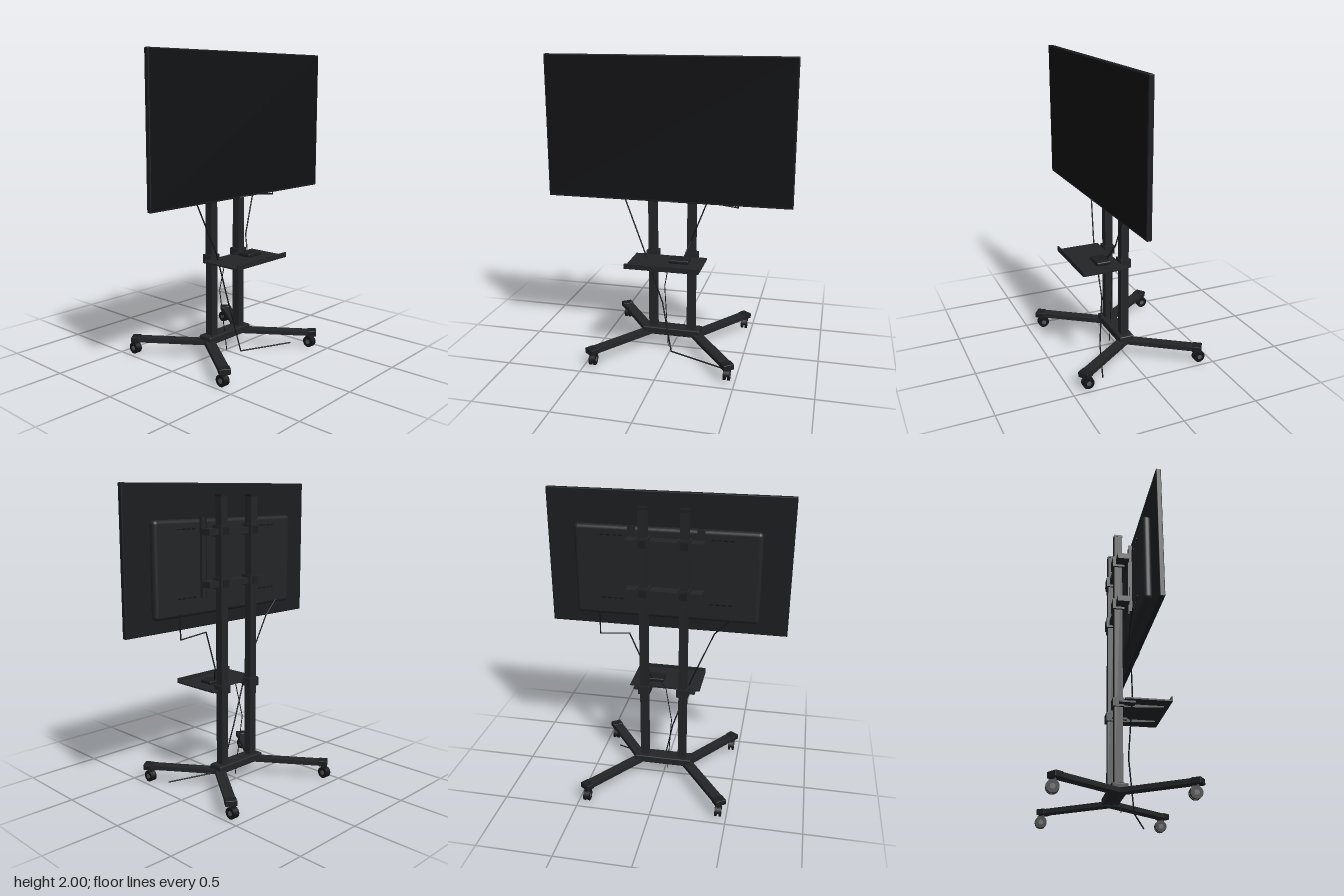
import * as THREE from 'three';
import { RoundedBoxGeometry } from 'three/addons/geometries/RoundedBoxGeometry.js';

const paint = (color) => new THREE.MeshStandardMaterial({ color });
const metal = paint(0x222426);
const plastic = paint(0x1c1d1f);
const glass = paint(0x111214);
const rubber = paint(0x141416);
const grey = paint(0x55585c);

function add(parent, name, geometry, material, x = 0, y = 0, z = 0) {
  const mesh = new THREE.Mesh(geometry, material);
  mesh.name = name;
  mesh.position.set(x, y, z);
  parent.add(mesh);
  return mesh;
}

// Box given by its limits on each axis
function box(parent, name, material, [x0, x1], [y0, y1], [z0, z1], radius = 0) {
  const size = [x1 - x0, y1 - y0, z1 - z0];
  const geometry = radius
    ? new RoundedBoxGeometry(...size, 4, radius)
    : new THREE.BoxGeometry(...size);
  return add(parent, name, geometry, material, (x0 + x1) / 2, (y0 + y1) / 2, (z0 + z1) / 2);
}

function group(parent, name) {
  const g = new THREE.Group();
  g.name = name;
  parent.add(g);
  return g;
}

// Thin cable running straight between points, with round joints
function cable(parent, name, points, radius = 0.0045) {
  const g = group(parent, name);
  const pts = points.map((p) => new THREE.Vector3(...p));
  pts.forEach((p, i) => {
    add(g, 'cableJoint', new THREE.SphereGeometry(radius, 8, 6), rubber, p.x, p.y, p.z);
    if (i === 0) return;
    const dir = p.clone().sub(pts[i - 1]);
    const mid = p.clone().add(pts[i - 1]).multiplyScalar(0.5);
    const run = add(g, 'cableRun', new THREE.CylinderGeometry(radius, radius, dir.length(), 8), rubber, mid.x, mid.y, mid.z);
    run.quaternion.setFromUnitVectors(new THREE.Vector3(0, 1, 0), dir.normalize());
  });
}

// Twin-wheel caster, wheels trailing behind the swivel
function caster(parent, x, z) {
  const g = group(parent, 'caster');
  g.position.set(x, 0, z);
  add(g, 'casterStem', new THREE.CylinderGeometry(0.012, 0.012, 0.04, 16), metal, 0, 0.075, 0.012);
  box(g, 'casterFork', plastic, [-0.006, 0.006], [0.03, 0.08], [-0.022, 0.024]);
  const hood = add(g, 'casterHood', new THREE.CylinderGeometry(0.039, 0.039, 0.014, 20, 1, false, 0, Math.PI), plastic, 0, 0.039, 0);
  hood.rotation.z = Math.PI / 2;
  for (const s of [-1, 1]) {
    const wheel = add(g, 'casterWheel', new THREE.CylinderGeometry(0.038, 0.038, 0.014, 24), rubber, s * 0.014, 0.038, 0);
    wheel.rotation.z = Math.PI / 2;
    const hub = add(g, 'casterHub', new THREE.CylinderGeometry(0.016, 0.016, 0.004, 16), grey, s * 0.021, 0.038, 0);
    hub.rotation.z = Math.PI / 2;
  }
}

function buildScreen(root) {
  const g = group(root, 'screen');
  box(g, 'screenBody', plastic, [-0.8, 0.8], [1.08, 2], [0.13, 0.162], 0.005);
  box(g, 'screenGlass', glass, [-0.792, 0.792], [1.092, 1.992], [0.15, 0.1635]);
  box(g, 'statusBar', grey, [-0.04, 0.04], [1.082, 1.087], [0.155, 0.1645]);
  box(g, 'rearHousing', metal, [-0.61, 0.61], [1.17, 1.78], [0.077, 0.135], 0.026);
  // Rows of vent slots on the back
  for (const s of [-1, 1])
    for (const y of [1.29, 1.72])
      for (let i = 0; i < 4; i++) {
        const x = s * (0.3 + i * 0.04);
        box(g, 'ventSlot', rubber, [x - 0.013, x + 0.013], [y - 0.004, y + 0.004], [0.0755, 0.08]);
      }
}

function buildMount(root) {
  const g = group(root, 'mount');
  for (const y of [1.70, 1.37]) {
    box(g, 'crossbar', metal, [-0.253, 0.253], [y - 0.02, y + 0.02], [-0.018, 0.067]);
    for (const s of [-1, 1]) {
      const x = s * 0.133;
      box(g, 'postClamp', metal, [x - 0.04, x + 0.04], [y - 0.035, y + 0.04], [-0.038, 0.04]);
      box(g, 'clampPlate', plastic, [x - 0.025, x + 0.025], [y - 0.022, y + 0.026], [-0.041, -0.036]);
    }
  }
  for (const s of [-1, 1]) {
    const x = s * 0.225;
    box(g, 'mountRail', metal, [x - 0.022, x + 0.022], [1.28, 1.79], [0.065, 0.08]);
    for (const e of [-1, 1])
      box(g, 'railFlange', metal, [x + e * 0.02 - 0.003, x + e * 0.02 + 0.003], [1.28, 1.79], [0.058, 0.08]);
  }
}

function buildShelf(root) {
  const g = group(root, 'shelf');
  box(g, 'shelfTray', metal, [-0.243, 0.243], [0.667, 0.677], [0.03, 0.325]);
  box(g, 'shelfLip', metal, [-0.243, 0.243], [0.667, 0.7], [0.319, 0.327]);
  for (const s of [-1, 1]) {
    const x = s * 0.133;
    box(g, 'shelfClamp', metal, [x - 0.04, x + 0.04], [0.642, 0.7], [-0.038, 0.034]);
    box(g, 'shelfFlange', metal, [s * 0.15 - 0.063, s * 0.15 + 0.063], [0.655, 0.668], [0, 0.1]);
    // Arm tapering toward the front edge
    const side = new THREE.Shape([[0, 0.642], [0.29, 0.658], [0.29, 0.668], [0, 0.668]].map((p) => new THREE.Vector2(...p)));
    const arm = new THREE.ExtrudeGeometry(side, { depth: 0.04, bevelEnabled: false });
    arm.rotateY(-Math.PI / 2);
    add(g, 'shelfArm', arm, metal, x + 0.02, 0, 0);
  }
  box(g, 'mediaBox', plastic, [0.02, 0.15], [0.677, 0.702], [0.095, 0.193], 0.008);
}

function buildStand(root) {
  const g = group(root, 'stand');
  box(g, 'baseBlock', metal, [-0.2, 0.2], [0.098, 0.15], [-0.052, 0.052], 0.008);
  for (const s of [-1, 1]) {
    const x = s * 0.133;
    box(g, 'post', metal, [x - 0.027, x + 0.027], [0.13, 1.92], [-0.027, 0.027]);
    box(g, 'postCap', plastic, [x - 0.029, x + 0.029], [1.915, 1.93], [-0.029, 0.029]);
    for (const f of [-1, 1]) {
      // Splayed leg with an end cap, running outward along its own z
      const leg = group(g, 'leg');
      leg.position.set(s * 0.16, 0, 0);
      leg.rotation.y = Math.atan2(s * 0.305, f * 0.425);
      box(leg, 'legTube', metal, [-0.034, 0.034], [0.09, 0.119], [0, 0.5]);
      box(leg, 'legEndCap', plastic, [-0.037, 0.037], [0.086, 0.123], [0.465, 0.524], 0.004);
      caster(g, s * 0.446, f > 0 ? 0.386 : -0.415);
    }
  }
}

function buildCables(root) {
  cable(root, 'powerCable', [[-0.43, 1.2, 0.045], [-0.33, 1.1, 0.042], [-0.175, 0.72, 0.085],
    [-0.05, 0.35, 0.08], [0.02, 0.02, 0.125], [0.39, 0.01, 0.26]]);
  cable(root, 'signalCable', [[0.445, 1.2, 0.05], [0.445, 1.04, 0.045], [0.24, 1.062, 0.035],
    [0.14, 0.8, 0.06], [0.1, 0.69, 0.11]]);
  cable(root, 'mediaBoxCable', [[0.04, 0.69, 0.1], [-0.012, 0.67, 0.02], [-0.055, 0.44, 0.0], [-0.022, 0.015, 0.035]], 0.003);
}

export function createModel() {
  const root = new THREE.Group();
  root.name = 'mobileScreenStand';
  buildScreen(root);
  buildMount(root);
  buildShelf(root);
  buildStand(root);
  buildCables(root);
  return root;
}
